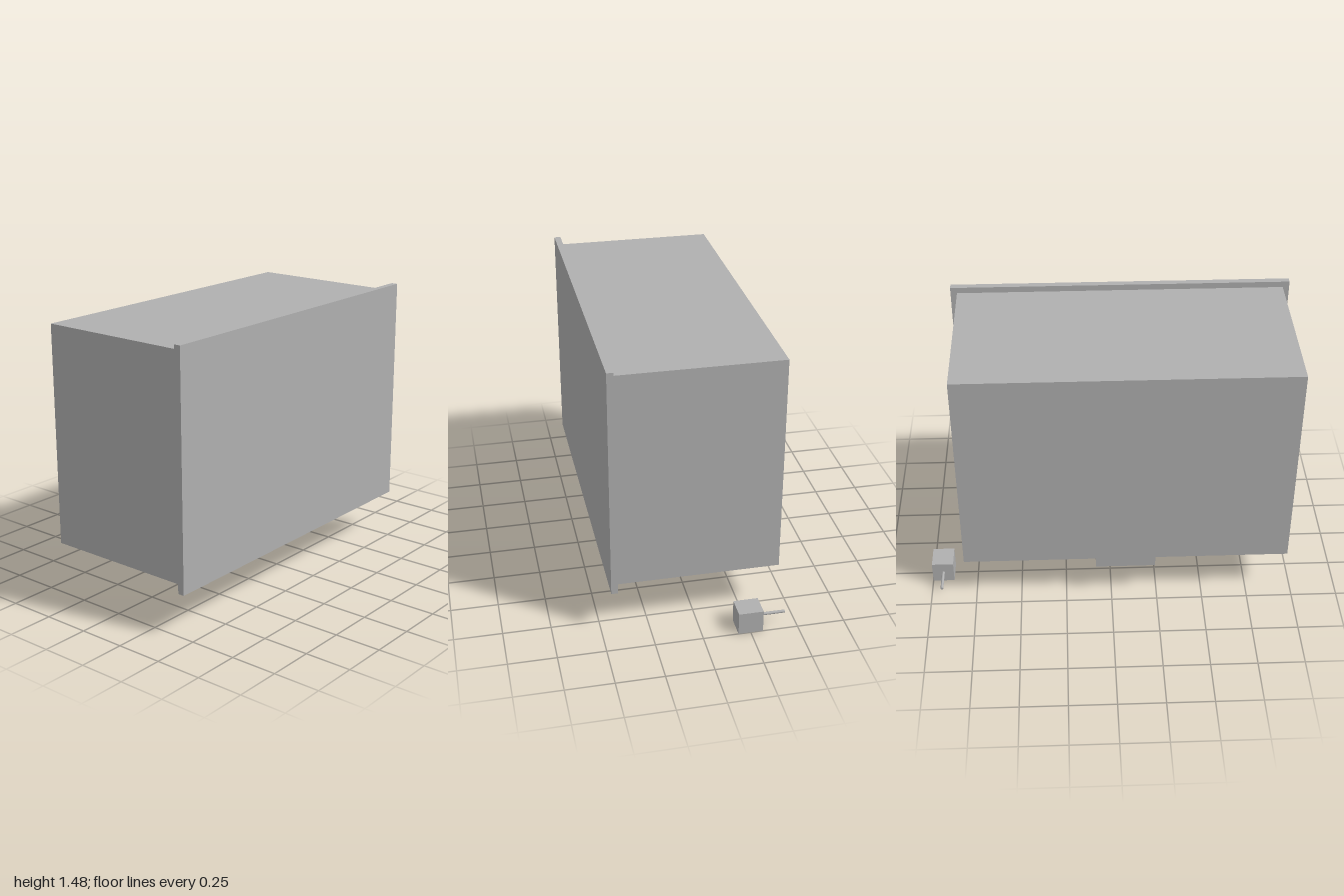
import * as THREE from 'three';

export function createModel() {
  const model = new THREE.Group();
  model.name = 'cabinet';
  const grey = new THREE.MeshStandardMaterial({ color: 0xb0b0b0 });
  grey.name = 'plain grey';

  // Box given by its limits on each axis
  function block(name, [x0, x1], [y0, y1], [z0, z1], parent = model) {
    const mesh = new THREE.Mesh(new THREE.BoxGeometry(x1 - x0, y1 - y0, z1 - z0), grey);
    mesh.position.set((x0 + x1) / 2, (y0 + y1) / 2, (z0 + z1) / 2);
    mesh.name = name;
    parent.add(mesh);
    return mesh;
  }

  // Main housing and the slightly larger front panel
  block('housing', [-0.965, 0.805], [0.26, 1.442], [-0.445, 0.41]);
  block('frontPanel', [-1, 0.84], [0.23, 1.475], [0.41, 0.445]);

  // Hanging plate and box under the housing
  block('hangingPlate', [-0.44, 0.28], [0.13, 0.26], [-0.17, -0.15]);
  block('rearBox', [-0.24, 0.085], [0.2, 0.26], [-0.445, -0.17]);

  // Underside grid of framed tiles
  const tileW = 0.172, tileD = 0.15, border = 0.015;
  const rect = (Type, w, d) => {
    const path = new Type();
    path.moveTo(-w / 2, -d / 2);
    path.lineTo(w / 2, -d / 2);
    path.lineTo(w / 2, d / 2);
    path.lineTo(-w / 2, d / 2);
    path.closePath();
    return path;
  };
  const shape = rect(THREE.Shape, tileW, tileD);
  shape.holes.push(rect(THREE.Path, tileW - 2 * border, tileD - 2 * border));
  const frameGeometry = new THREE.ExtrudeGeometry(shape, { depth: 0.012, bevelEnabled: false });
  frameGeometry.rotateX(-Math.PI / 2);
  const insetGeometry = new THREE.BoxGeometry(tileW - 2 * border, 0.005, tileD - 2 * border);

  const tiles = new THREE.Group();
  tiles.name = 'undersideTiles';
  model.add(tiles);
  for (let row = 0; row < 4; row++) {
    for (let col = 0; col < 8; col++) {
      const tile = new THREE.Group();
      tile.name = 'tile';
      tile.position.set(0.644 - col * 0.207, 0.24, 0.255 - row * 0.184);
      const frame = new THREE.Mesh(frameGeometry, grey);
      frame.name = 'tileFrame';
      const inset = new THREE.Mesh(insetGeometry, grey);
      inset.name = 'tileInset';
      inset.position.y = 0.0065;
      tile.add(frame, inset);
      tiles.add(tile);
    }
  }

  // Separate small block with a thin rod pointing backwards
  const motor = new THREE.Group();
  motor.name = 'motor';
  model.add(motor);
  block('motorBody', [0.882, 1], [0, 0.122], [-0.315, -0.185], motor);
  const rod = new THREE.Mesh(new THREE.CylinderGeometry(0.008, 0.008, 0.13, 20), grey);
  rod.name = 'motorRod';
  rod.rotation.x = Math.PI / 2;
  rod.position.set(0.94, 0.062, -0.38);
  motor.add(rod);

  return model;
}
